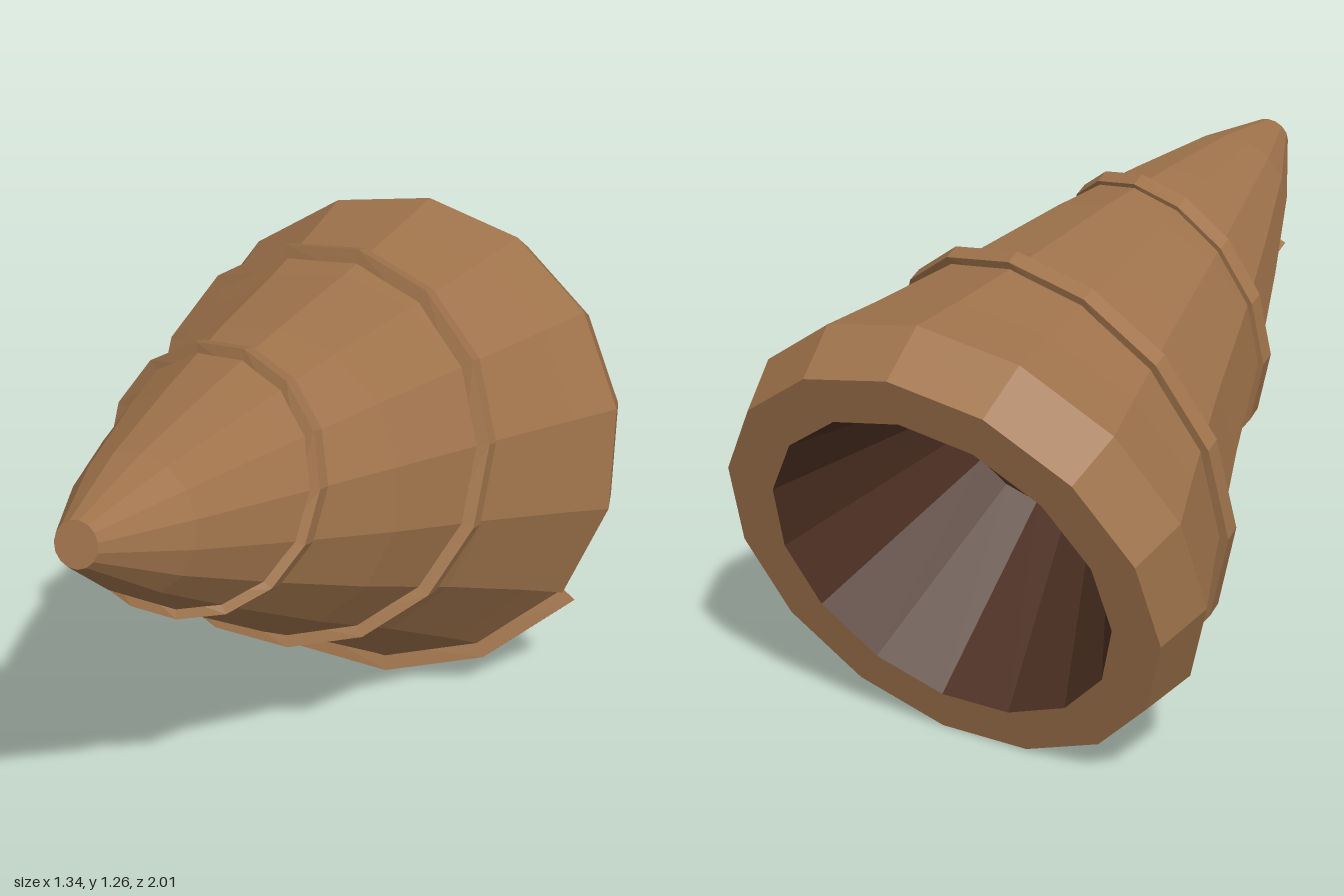
import * as THREE from 'three';

const SIDES = 15;
const FACET = 360 / SIDES;

// Outer profile as [distance from tip, radius]
const PROFILE = [
  [0, 0.055], [0.25, 0.166], [0.57, 0.277], [0.9, 0.383], [1.25, 0.482],
  [1.6, 0.592], [1.77, 0.65], [1.925, 0.605],
];

function radiusAt(t) {
  for (let i = 1; i < PROFILE.length; i++) {
    const [t0, r0] = PROFILE[i - 1], [t1, r1] = PROFILE[i];
    if (t <= t1) return r0 + (r1 - r0) * (t - t0) / (t1 - t0);
  }
  return PROFILE[PROFILE.length - 1][1];
}

// Surface of revolution from [distance, radius] pairs, tip towards +y
function turned(pairs) {
  const points = pairs.map(([t, r]) => new THREE.Vector2(r, -t));
  return new THREE.LatheGeometry(points, SIDES, THREE.MathUtils.degToRad(11));
}

// Rectangular ridge wound round the shell, its corners on the shell's edges
function spiralRidge() {
  const steps = 35, positions = [], index = [];
  const halfWidth = 0.023;
  for (let i = 0; i <= steps; i++) {
    const f = i / steps;
    const a = THREE.MathUtils.degToRad(209 + i * FACET);
    const t = 0.36 + 1.41 * Math.pow(f, 1.05);
    const r = radiusAt(t), height = 0.014 + 0.021 * f;
    const corners = [[-0.04, -1], [height, -1], [height, 1], [-0.04, 1]];
    for (const [dr, side] of corners) {
      positions.push((r + dr) * Math.cos(a), -(t + side * halfWidth), -(r + dr) * Math.sin(a));
    }
    if (i === steps) continue;
    for (let k = 0; k < 4; k++) {
      const p = i * 4 + k, q = i * 4 + (k + 1) % 4;
      index.push(p, q, q + 4, p, q + 4, p + 4);
    }
  }
  const e = steps * 4;
  index.push(0, 2, 1, 0, 3, 2, e, e + 1, e + 2, e, e + 2, e + 3);
  const geometry = new THREE.BufferGeometry();
  geometry.setAttribute('position', new THREE.Float32BufferAttribute(positions, 3));
  geometry.setIndex(index);
  geometry.computeVertexNormals();
  return geometry;
}

export function createModel() {
  const model = new THREE.Group();
  model.name = 'spiralHorn';

  const brown = new THREE.MeshStandardMaterial({ color: 0xa0744c, flatShading: true });
  brown.name = 'warm brown';
  const darkBrown = new THREE.MeshStandardMaterial({ color: 0x4d3022, flatShading: true });
  darkBrown.name = 'dark brown';

  const horn = new THREE.Group();
  horn.name = 'horn';
  const add = (name, geometry, material) => {
    const mesh = new THREE.Mesh(geometry, material);
    mesh.name = name;
    horn.add(mesh);
  };

  // Shell with flat rim and blunt tip
  add('shell', turned([[1.925, 0.475], ...PROFILE.slice().reverse(), [0, 0]]), brown);
  // Hollow mouth at the wide end
  add('mouthInterior', turned([[1.42, 0], [1.42, 0.225], [1.925, 0.475]]), darkBrown);
  add('spiralRidge', spiralRidge(), brown);

  // Tilt the horn: tip forward, up and to its left
  const axis = new THREE.Vector3(0.378, 0.282, 0.8825).normalize();
  const across = new THREE.Vector3(0, 1, 0).cross(axis).normalize();
  const down = across.clone().cross(axis);
  horn.quaternion.setFromRotationMatrix(new THREE.Matrix4().makeBasis(across, axis, down));
  horn.position.set(0.61, 1.12, 0.975);
  model.add(horn);
  return model;
}
